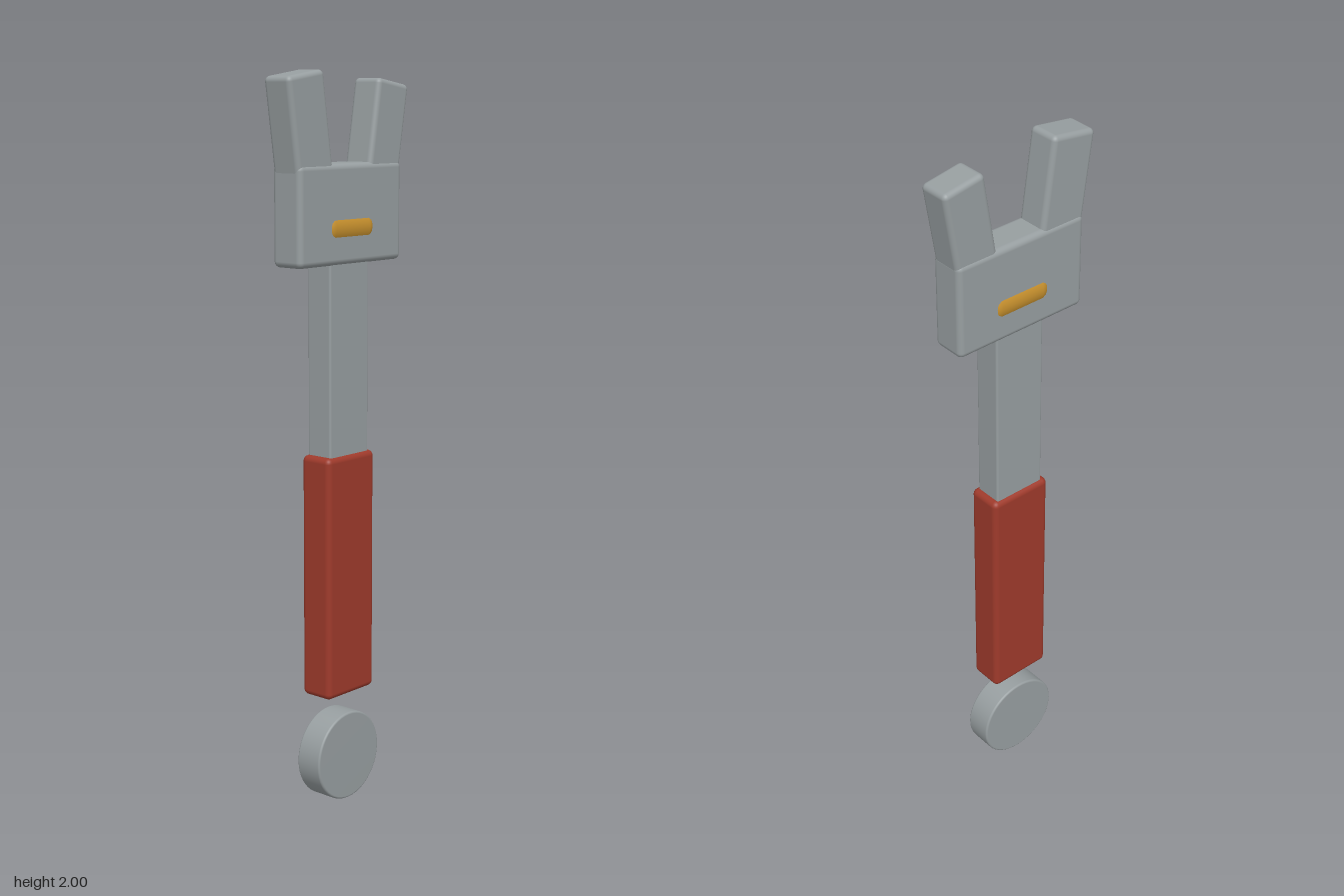
import * as THREE from 'three';
import { RoundedBoxGeometry } from 'three/addons/geometries/RoundedBoxGeometry.js';

export function createModel() {
  const model = new THREE.Group();
  model.name = 'wrench';

  const material = (name, color) => {
    const m = new THREE.MeshStandardMaterial({ color });
    m.name = name;
    return m;
  };
  const steel = material('steel', 0x979ea0);
  const red = material('red grip', 0x9e3a2b);
  const brass = material('brass', 0xc9922e);

  const add = (name, geometry, mat, x, y) => {
    const mesh = new THREE.Mesh(geometry, mat);
    mesh.name = name;
    mesh.position.set(x, y, 0);
    model.add(mesh);
    return mesh;
  };
  const block = (w, h, d, bevel) => new RoundedBoxGeometry(w, h, d, 3, bevel);

  // Solid disc about the y axis with rounded rims
  const roundedDisc = (radius, half, bevel, sides) => {
    const shape = [[0, -half]];
    for (const end of [-1, 1]) {
      for (let i = 0; i <= 4; i++) {
        const a = (end < 0 ? i - 4 : i) * Math.PI / 8;
        shape.push([radius - bevel + bevel * Math.cos(a), end * (half - bevel) + bevel * Math.sin(a)]);
      }
    }
    shape.push([0, half]);
    return new THREE.LatheGeometry(shape.map(([r, y]) => new THREE.Vector2(r, y)), sides);
  };

  // Handle: bar with a thicker sleeve
  add('shaft', block(0.155, 0.8, 0.08, 0.006), steel, 0, 1.17);
  add('grip', block(0.189, 0.675, 0.1, 0.016), red, 0, 0.646);

  // Head and its two splayed jaws
  add('head', block(0.406, 0.264, 0.099, 0.016), steel, 0, 1.628);
  const jaws = [
    { name: 'rightJaw', width: 0.136, x: -0.171, top: 1.99, tilt: 0.145 },
    { name: 'leftJaw', width: 0.126, x: 0.176, top: 1.97, tilt: -0.165 },
  ];
  for (const { name, width, x, top, tilt } of jaws) {
    const length = 0.32;
    const geometry = block(width, length, 0.091, 0.014).translate(0, -length / 2, 0);
    add(name, geometry, steel, x, top).rotation.z = tilt;
  }

  // Adjusting roller lying across the head, showing on both faces
  add('roller', roundedDisc(0.0545, 0.096, 0.03, 32).rotateZ(Math.PI / 2), brass, 0, 1.592);

  // Round end piece below the grip
  add('endDisc', roundedDisc(0.125, 0.04, 0.006, 48).rotateX(Math.PI / 2), steel, 0, 0.125);

  return model;
}
